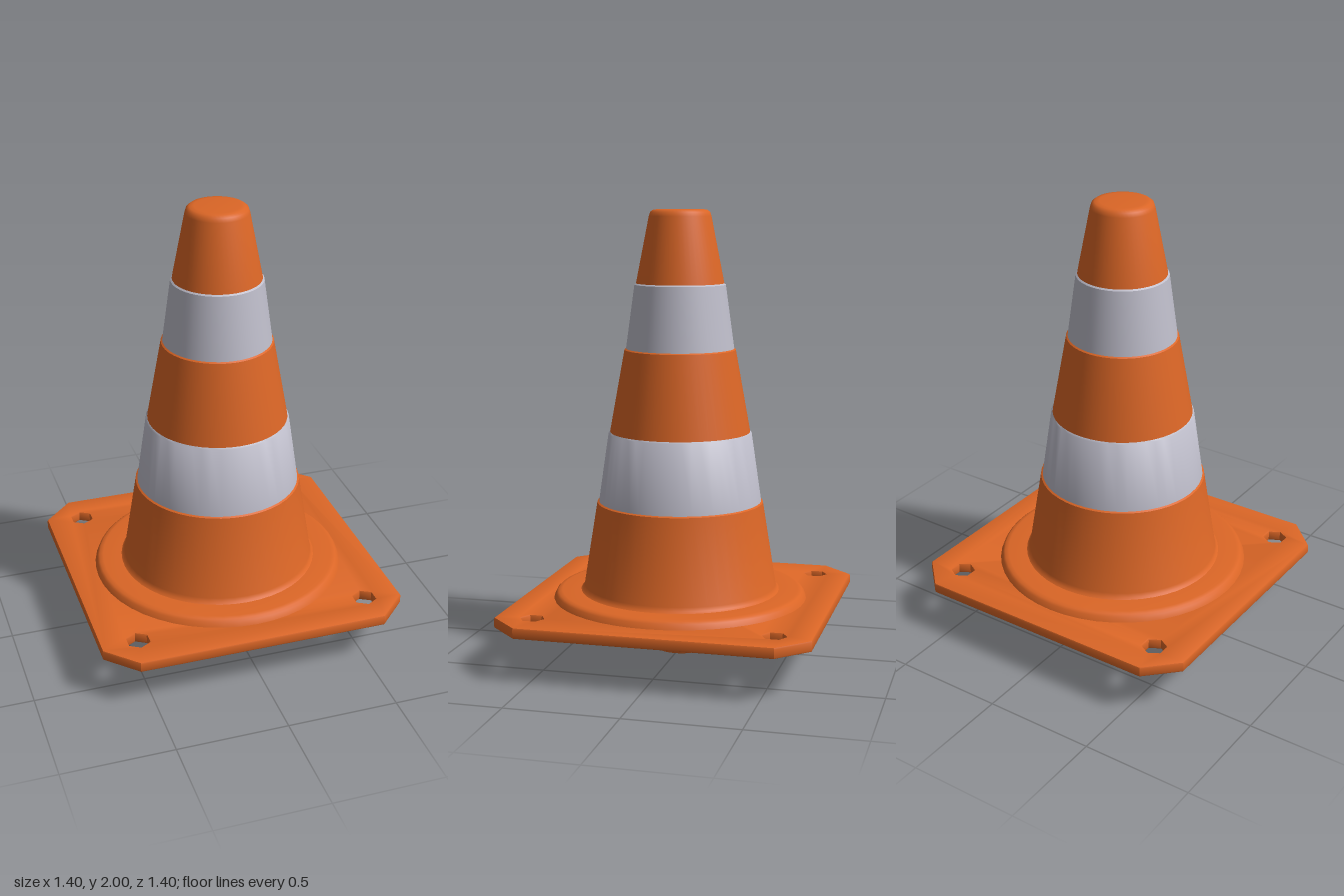
import * as THREE from 'three';
import { toCreasedNormals } from 'three/addons/utils/BufferGeometryUtils.js';

export function createModel() {
  const orange = new THREE.MeshStandardMaterial({ color: 0xdb6626 });
  orange.name = 'orange plastic';
  const silver = new THREE.MeshStandardMaterial({ color: 0xbebdca });
  silver.name = 'reflective silver';

  const model = new THREE.Group();
  model.name = 'trafficCone';

  const add = (name, geometry, material, z = 0) => {
    const mesh = new THREE.Mesh(toCreasedNormals(geometry, 0.7), material);
    mesh.name = name;
    mesh.position.z = z;
    model.add(mesh);
  };
  // profile: [radius, height] pairs, running upwards on the outside
  const lathe = (profile) =>
    new THREE.LatheGeometry(profile.map(([r, y]) => new THREE.Vector2(r, y)), 48);

  // Base plate: square with cut corners and four hexagonal holes
  const h = 0.7, c = 0.565;
  const outline = [[c, -h], [h, -c], [h, c], [c, h], [-c, h], [-h, c], [-h, -c], [-c, -h]];
  const plate = new THREE.Shape(outline.map(([x, y]) => new THREE.Vector2(x, y)));
  for (const sx of [-1, 1]) {
    for (const sy of [-1, 1]) {
      const hole = [];
      for (let i = 0; i < 6; i++) {
        const a = Math.PI / 2 - (i * Math.PI) / 3;
        hole.push(new THREE.Vector2(sx * 0.533 + 0.053 * Math.cos(a), sy * 0.535 + 0.053 * Math.sin(a)));
      }
      plate.holes.push(new THREE.Path(hole));
    }
  }
  const bevel = 0.008;
  const plateGeometry = new THREE.ExtrudeGeometry(plate, {
    depth: 0.05 - 2 * bevel, bevelEnabled: true, bevelSize: bevel,
    bevelThickness: bevel, bevelOffset: -bevel, bevelSegments: 2,
  });
  plateGeometry.rotateX(-Math.PI / 2).translate(0, 0.195 + bevel, 0);
  add('basePlate', plateGeometry, orange);

  // Raised round step between the plate and the cone
  const offset = 0.007;
  add('baseRing', lathe([[0.58, 0.24], [0.568, 0.268], [0.558, 0.277], [0.54, 0.281], [0.42, 0.281]]), orange, offset);

  // Cone body with slightly recessed and raised stripe edges
  add('coneBottom', lathe([[0.455, 0.28], [0.445, 0.288], [0.438, 0.305], [0.377, 0.685], [0.369, 0.69]]), orange, offset);
  add('lowerStripe', lathe([[0.369, 0.69], [0.324, 1.0], [0.317, 1.007]]), silver, offset);
  add('coneMiddle', lathe([[0.317, 1.007], [0.25, 1.378], [0.243, 1.383]]), orange, offset);
  add('upperStripe', lathe([[0.243, 1.383], [0.204, 1.668], [0.197, 1.674]]), silver, offset);
  add('coneTop', lathe([[0.197, 1.674], [0.139, 1.97], [0.133, 1.988], [0.12, 1.998], [0.1, 2], [0, 2]]), orange, offset);

  // Hollow peg under the plate
  add('peg', lathe([
    [0, 0.195], [0.098, 0.195], [0.098, 0.008], [0.104, 0], [0.12, 0],
    [0.126, 0.008], [0.126, 0.17], [0.131, 0.185], [0.142, 0.196],
  ]), orange);

  return model;
}
